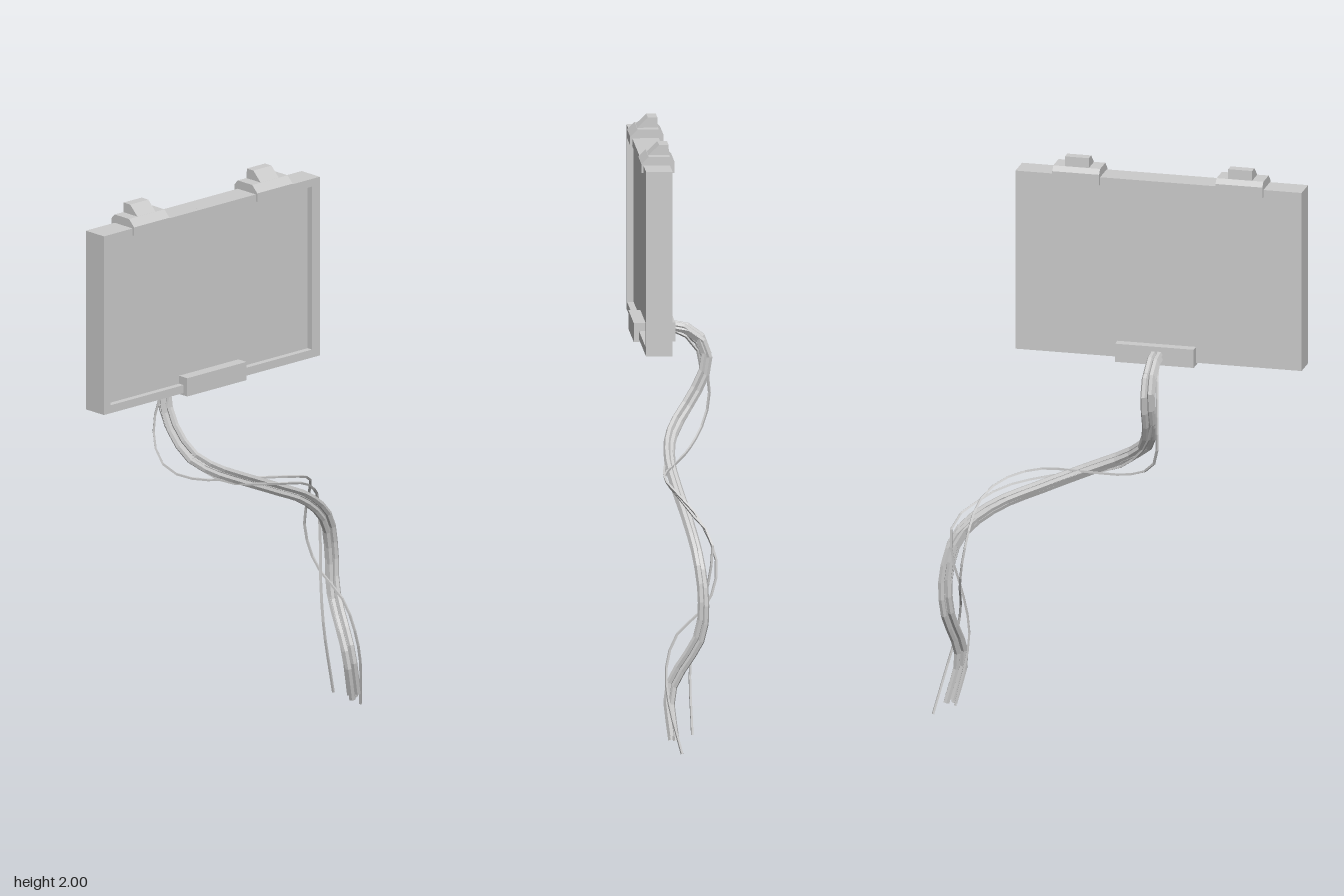
import * as THREE from 'three';

const grey = new THREE.MeshStandardMaterial({ color: 0xcccccc, flatShading: true });
const cableGrey = new THREE.MeshStandardMaterial({ color: 0xcccccc, flatShading: true, side: THREE.DoubleSide });

function add(parent, name, geometry, material = grey) {
  const mesh = new THREE.Mesh(geometry, material);
  mesh.name = name;
  parent.add(mesh);
  return mesh;
}

// Box given by its lower and upper corners
function boxBetween([x0, y0, z0], [x1, y1, z1]) {
  return new THREE.BoxGeometry(x1 - x0, y1 - y0, z1 - z0)
    .translate((x0 + x1) / 2, (y0 + y1) / 2, (z0 + z1) / 2);
}

// Closed rectangle in the plane of the screen
function rectangle(PathType, u0, v0, u1, v1) {
  return new PathType([[u0, v0], [u1, v0], [u1, v1], [u0, v1]].map(p => new THREE.Vector2(...p)));
}

// An x-y profile extruded along z, centred on z
function profile(points, width) {
  const shape = new THREE.Shape(points.map(p => new THREE.Vector2(...p)));
  return new THREE.ExtrudeGeometry(shape, { depth: width, bevelEnabled: false }).translate(0, 0, -width / 2);
}

function cable(points, radius, sides, offset = [0, 0, 0]) {
  const shift = new THREE.Vector3(...offset);
  const curve = new THREE.CatmullRomCurve3(points.map(p => new THREE.Vector3(...p).add(shift)));
  return new THREE.TubeGeometry(curve, points.length * 2, radius, sides);
}

export function createModel() {
  const model = new THREE.Group();
  model.name = 'wallScreen';

  // Screen: back housing, raised rim and recessed panel facing +x
  const screen = new THREE.Group();
  screen.name = 'screen';
  model.add(screen);
  add(screen, 'housing', boxBetween([0.028, 1.31, -0.35], [0.095, 1.937, 0.64]));
  const rim = rectangle(THREE.Shape, -0.64, 1.31, 0.35, 1.937);
  rim.holes.push(rectangle(THREE.Path, -0.61, 1.338, 0.315, 1.91));
  add(screen, 'rim', new THREE.ExtrudeGeometry(rim, { depth: 0.022, bevelEnabled: false })
    .rotateY(Math.PI / 2).translate(0.095, 0, 0));

  // Cable clamp under the lower edge
  add(model, 'cableClamp', boxBetween([-0.005, 1.302, 0.003], [0.135, 1.366, 0.275]));

  // Two stepped clips on the upper edge
  const basePoints = [[0.013, 1.912], [0.124, 1.912], [0.124, 1.942], [0.099, 1.966], [0.028, 1.966], [0.013, 1.95]];
  const crestPoints = [[0.028, 1.93], [0.117, 1.93], [0.117, 1.948], [0.062, 2], [0.03, 2]];
  for (const z of [0.427, -0.138]) {
    const clip = new THREE.Group();
    clip.name = 'topClip';
    clip.position.z = z;
    add(clip, 'clipBase', profile(basePoints, 0.162));
    add(clip, 'clipCrest', profile(crestPoints, 0.083));
    model.add(clip);
  }

  // Bundle of thick cables hanging from the clamp
  const cables = new THREE.Group();
  cables.name = 'cables';
  model.add(cables);
  const bundlePath = [
    [0.01, 1.335, 0.145], [-0.07, 1.315, 0.145], [-0.115, 1.26, 0.145], [-0.115, 1.19, 0.145],
    [-0.075, 1.1, 0.14], [-0.02, 1.02, 0.11], [0.01, 0.97, 0.04], [0.02, 0.91, -0.09],
    [0.005, 0.84, -0.25], [-0.02, 0.76, -0.42], [-0.045, 0.66, -0.53], [-0.06, 0.53, -0.568],
    [-0.05, 0.4, -0.566], [0.05, 0.21, -0.542], [0.04, 0.05, -0.578],
  ];
  const offsets = [[0.008, 0.008, -0.011], [-0.006, 0.006, 0.011], [0.006, -0.008, 0.012], [-0.008, -0.006, -0.012]];
  for (const offset of offsets) {
    add(cables, 'thickCable', cable(bundlePath, 0.0115, 6, offset), cableGrey);
  }

  // Two thin wires winding around the bundle
  const wirePaths = [
    [[0.01, 1.335, 0.155], [-0.07, 1.29, 0.165], [-0.12, 1.18, 0.178], [-0.13, 1.08, 0.18],
      [-0.11, 1, 0.17], [-0.08, 0.95, 0.125], [-0.045, 0.92, 0.04], [0, 0.905, -0.1],
      [0.05, 0.885, -0.28], [0.01, 0.845, -0.4], [-0.05, 0.78, -0.46], [-0.11, 0.63, -0.492],
      [-0.08, 0.5, -0.515], [0.03, 0.39, -0.54], [0.063, 0.29, -0.56], [0.058, 0.18, -0.59], [0.015, 0.005, -0.632]],
    [[0.01, 1.325, 0.135], [-0.07, 1.28, 0.14], [-0.1, 1.2, 0.152], [-0.09, 1.1, 0.15],
      [-0.03, 1, 0.1], [0.015, 0.92, 0], [0.045, 0.875, -0.2], [0.005, 0.83, -0.38],
      [-0.04, 0.78, -0.47], [-0.09, 0.72, -0.535], [-0.085, 0.6, -0.54], [-0.05, 0.45, -0.51],
      [-0.022, 0.3, -0.497], [-0.025, 0.055, -0.545]],
  ];
  for (const path of wirePaths) add(cables, 'thinWire', cable(path, 0.005, 4), cableGrey);

  return model;
}
